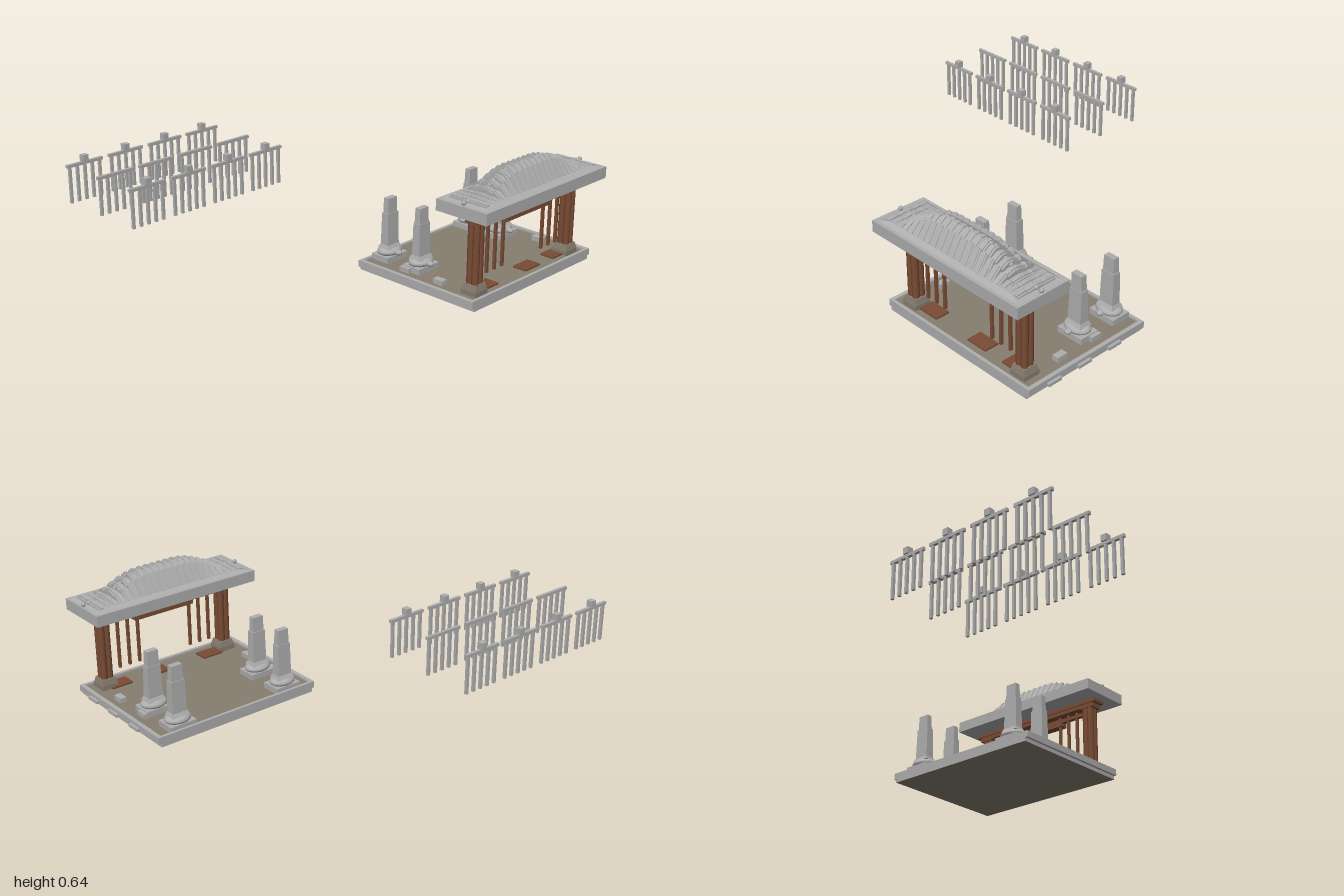
import * as THREE from 'three';

const mat = (name, color, side = THREE.FrontSide) => {
  const m = new THREE.MeshStandardMaterial({ color, side });
  m.name = name;
  return m;
};

export function createModel() {
  const stone = mat('grey stone', 0xaeaeae);
  const paving = mat('taupe paving', 0x877d70);
  const wood = mat('brown wood', 0x7a4c34);
  const root = new THREE.Group();
  const CX = 0.505, GZ = 0.78;

  const add = (name, geo, m, x, y, z, parent = root) => {
    const mesh = new THREE.Mesh(geo, m);
    mesh.name = name;
    mesh.position.set(x, y, z);
    parent.add(mesh);
    return mesh;
  };
  // Box given by its limits
  const box = (name, m, x0, x1, y0, y1, z0, z1, parent = root) =>
    add(name, new THREE.BoxGeometry(x1 - x0, y1 - y0, z1 - z0), m,
      (x0 + x1) / 2, (y0 + y1) / 2, (z0 + z1) / 2, parent);
  // Four-sided tapered block standing on y
  const taper = (name, m, w0, d0, w1, d1, h, x, y, z, parent = root) => {
    const g = new THREE.BoxGeometry(1, h, 1), p = g.attributes.position;
    for (let i = 0; i < p.count; i++) {
      const top = p.getY(i) > 0;
      p.setX(i, p.getX(i) * (top ? w1 : w0));
      p.setZ(i, p.getZ(i) * (top ? d1 : d0));
    }
    g.computeVertexNormals();
    return add(name, g, m, x, y + h / 2, z, parent);
  };

  // Courtyard platform: plinth, kerb and sunken paving
  box('plinth', [stone, stone, stone, paving, stone, stone], 0.04, 0.97, 0, 0.02, 0.115, 0.86);
  box('paving', paving, 0.045, 0.965, 0.02, 0.045, 0.13, 0.845);
  for (const [x0, x1] of [[0.025, 0.047], [0.963, 0.985]])
    box('sideKerb', stone, x0, x1, 0.02, 0.055, 0.115, 0.86);
  for (const [z0, z1] of [[0.115, 0.132], [0.843, 0.86]])
    box('endKerb', stone, 0.047, 0.963, 0.02, 0.055, z0, z1);
  for (const z of [0.325, 0.52, 0.71])
    box('sideStone', stone, 0.98, 1, 0.022, 0.038, z - 0.04, z + 0.04);
  for (const x of [0.24, 0.58, 0.81])
    box('woodenFloorPlate', wood, x - 0.06, x + 0.06, 0.045, 0.054, 0.72, 0.8);

  // Gate columns on stepped bases, with capitals
  for (const s of [-1, 1]) {
    const x = CX + s * 0.37;
    box('columnFoot', paving, x - 0.046, x + 0.046, 0.045, 0.07, GZ - 0.046, GZ + 0.046);
    taper('columnBase', paving, 0.088, 0.088, 0.074, 0.074, 0.03, x, 0.07, GZ);
    // Clustered shaft
    for (let i = 0; i < 4; i++) {
      const a = Math.PI / 4 + i * Math.PI / 2;
      add('columnShaft', new THREE.CylinderGeometry(0.018, 0.018, 0.32, 8), wood,
        x + Math.cos(a) * 0.022, 0.26, GZ + Math.sin(a) * 0.022);
    }
    add('columnCore', new THREE.CylinderGeometry(0.027, 0.027, 0.32, 8), wood, x, 0.26, GZ);
    box('capital', wood, x - 0.045, x + 0.045, 0.415, 0.45, GZ - 0.036, GZ + 0.036);

    // Hanging strips on each side of the opening
    for (let i = 0; i < 3; i++) {
      const sx = CX + s * (0.16 + i * 0.06);
      box('hangingStrip', wood, sx - 0.007, sx + 0.007, 0.125, 0.42, GZ - 0.007, GZ + 0.007);
    }
  }
  box('lintel', wood, 0.09, 0.92, 0.42, 0.442, GZ - 0.036, GZ + 0.036);
  box('upperLintel', wood, 0.07, 0.94, 0.44, 0.462, GZ - 0.042, GZ + 0.042);
  box('tieBeam', wood, 0.15, 0.34, 0.385, 0.405, GZ - 0.012, GZ + 0.012);
  box('signBeam', wood, 0.325, 0.685, 0.365, 0.408, GZ - 0.015, GZ + 0.03);

  // Roof: eave slab, low hip and stepped tile columns
  const RZ = 0.775;
  box('eaveSlab', stone, 0.02, 0.985, 0.46, 0.52, RZ - 0.153, RZ + 0.153);
  taper('roofHip', stone, 0.93, 0.27, 0.80, 0.225, 0.015, CX, 0.52, RZ);
  const rise = (x) => {
    const t = Math.max(0, Math.abs(x - CX) - 0.1) / 0.25;
    return t < 1 ? 0.095 * Math.cos(t * Math.PI / 2) : 0;
  };
  const roof = new THREE.Group();
  roof.name = 'tiledRoof';
  root.add(roof);
  const N = 22, W = 0.04;
  for (let i = 0; i < N; i++) {
    const x = CX + (i - (N - 1) / 2) * W;
    // Saw-tooth section: a steep outer tile row and an inner row meeting at the ridge
    const column = (name, w, lift) => {
      const h = rise(x), b = 0.522, y = (k, c) => 0.53 + h * k + c + lift;
      const half = [[0.112, b], [0.112, 0.53 + lift], [0.06, y(0.93, 0.004)],
        [0.052, y(0.72, 0.002)], [0.012, y(1, 0.006)]];
      const pts = [...half, ...half.slice().reverse().map(([z, q]) => [-z, q])];
      const shape = new THREE.Shape(pts.map(([z, q]) => new THREE.Vector2(z, q)));
      const g = new THREE.ExtrudeGeometry(shape, { depth: w, bevelEnabled: false });
      g.translate(0, 0, -w / 2);
      g.rotateY(-Math.PI / 2);
      add(name, g, stone, x, 0, RZ, roof);
    };
    column('tileTrough', W, 0);
    column('tileRib', W * 0.5, 0.006);
  }
  // Ridge knobs following the roof curve
  for (let i = 0; i < 31; i++) {
    const x = 0.04 + i * 0.031;
    add('ridgeKnob', new THREE.SphereGeometry(0.012, 8, 6), stone, x, 0.531 + rise(x), RZ, roof);
  }

  // Turtle-borne steles
  for (const x of [CX - 0.323, CX + 0.323]) {
    for (const z of [0.185, 0.397]) {
      const g = new THREE.Group();
      g.name = 'turtleStele';
      g.position.set(x, 0, z);
      root.add(g);
      box('steleBase', stone, -0.075, 0.075, 0.045, 0.075, -0.055, 0.055, g);
      const shell = add('turtleShell', new THREE.SphereGeometry(1, 16, 10), stone, 0, 0.088, 0, g);
      shell.scale.set(0.072, 0.028, 0.057);
      const head = add('turtleHead', new THREE.SphereGeometry(1, 10, 8), stone, 0, 0.088, 0.062, g);
      head.scale.set(0.018, 0.014, 0.02);
      taper('steleFoot', stone, 0.1, 0.075, 0.085, 0.055, 0.02, 0, 0.105, 0, g);
      taper('steleShaft', stone, 0.082, 0.05, 0.076, 0.042, 0.175, 0, 0.12, 0, g);
      taper('steleTop', stone, 0.066, 0.036, 0.062, 0.032, 0.08, 0, 0.295, 0, g);
    }
  }
  // Low kerb stones along the sides
  for (const s of [-1, 1])
    for (const z of [0.37, 0.59]) {
      const x = CX + s * 0.4;
      box('lowStone', stone, x - 0.018, x + 0.018, 0.045, 0.07, z - 0.03, z + 0.03);
    }

  // Detached railing panels, three rows of four
  [-0.915, -0.661, -0.407].forEach((z, row) => {
    for (let c = 0; c < 4; c++) {
      const g = new THREE.Group();
      g.name = 'railingPanel';
      g.position.set(-0.893 + c * 0.254, 0, z);
      root.add(g);
      box('rail', stone, -0.107, 0.107, 0.55, 0.566, -0.008, 0.008, g);
      for (let i = -2; i <= 2; i++)
        box('baluster', stone, i * 0.045 - 0.007, i * 0.045 + 0.007, 0.363, 0.55, -0.007, 0.007, g);
      if (row !== 1) box('railCap', stone, -0.016, 0.016, 0.566, 0.6, -0.016, 0.016, g);
    }
  });
  return root;
}
